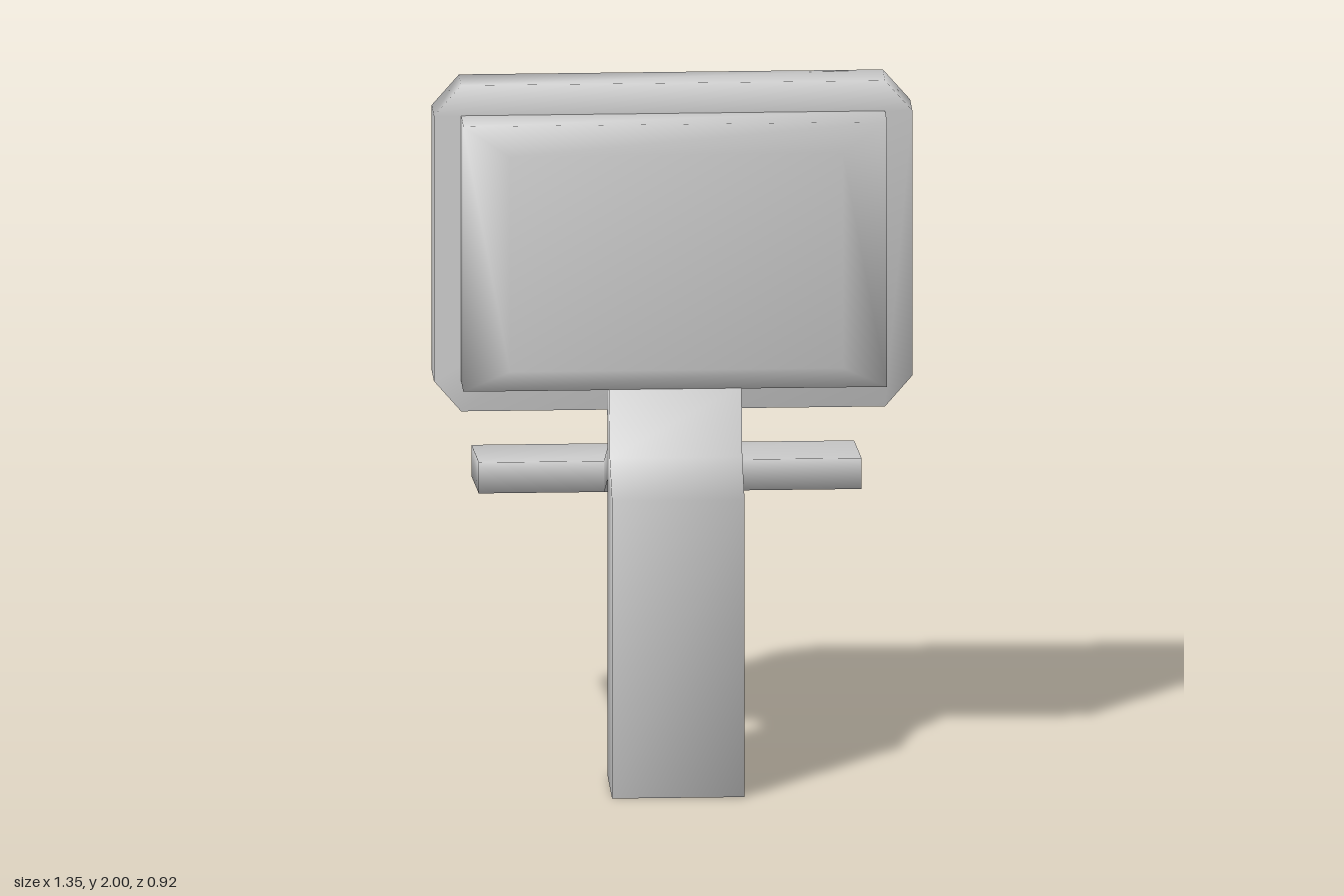
import * as THREE from 'three';
import { mergeGeometries, mergeVertices } from 'three/addons/utils/BufferGeometryUtils.js';

// Smooth skin through a list of equal-sized rings (counter-clockwise seen from the last ring)
function loft(rings, capStart = true, capEnd = true) {
  const n = rings[0].length;
  const last = (rings.length - 1) * n;
  const index = [];
  for (let r = 0; r < rings.length - 1; r++) {
    for (let i = 0; i < n; i++) {
      const a = r * n + i, b = r * n + (i + 1) % n;
      index.push(a, b, b + n, a, b + n, a + n);
    }
  }
  for (let i = 1; i < n - 1; i++) {
    if (capStart) index.push(0, i + 1, i);
    if (capEnd) index.push(last, last + i, last + i + 1);
  }
  const geometry = new THREE.BufferGeometry();
  geometry.setAttribute('position', new THREE.Float32BufferAttribute(rings.flat(2), 3));
  geometry.setIndex(index);
  const merged = mergeVertices(geometry, 1e-4);
  merged.computeVertexNormals();
  return merged;
}

// Four-cornered rings for lofts running up, backward and forward
const ringUp = (w, [zBack, yBack], [zFront, yFront]) =>
  [[w, yBack, zBack], [-w, yBack, zBack], [-w, yFront, zFront], [w, yFront, zFront]];
const ringBack = (w, z, top, bottom) =>
  [[-w, top, z], [w, top, z], [w, bottom, z], [-w, bottom, z]];
const ringFront = (w, z, top, bottom) =>
  [[w, top, z], [-w, top, z], [-w, bottom, z], [w, bottom, z]];

export function createModel() {
  const group = new THREE.Group();
  const material = (name, color) => {
    const m = new THREE.MeshStandardMaterial({ color });
    m.name = name;
    return m;
  };
  const casing = material('light grey casing', 0xcccccc);
  const glass = material('dark screen', 0x2f3531);
  const green = material('green code', 0x4ea524);
  const add = (name, geometry, mat) => {
    const mesh = new THREE.Mesh(geometry, mat);
    mesh.name = name;
    group.add(mesh);
  };

  // Post with a leaning neck
  const w = 0.187;
  add('post', loft([
    ringUp(w, [0.2, 0], [0.46, 0]),
    ringUp(w, [0.2, 0.865], [0.46, 0.865]),
    ringUp(w, [0.2, 0.955], [0.325, 0.955]),
    ringUp(w, [0.155, 1.15], [0.28, 1.15]),
  ]), casing);

  // Arm and keyboard tray
  add('trayArm', loft([
    ringBack(w, 0.2, 0.955, 0.865),
    ringBack(w, -0.02, 0.86, 0.77),
  ], false, false), casing);
  add('keyboardTray', loft([
    ringBack(0.54, -0.02, 0.86, 0.77),
    ringBack(0.54, -0.46, 0.8, 0.71),
  ]), casing);

  // Screen frame: chamfered outline with a rectangular opening at the back
  const X = 0.598, T = 1.912, B = 1.142, back = 0.025, front = 0.153;
  const outline = z => [
    [0.675, T, z], [X, 2, z], [-X, 2, z], [-0.675, T, z],
    [-0.675, B, z], [-X, 1.053, z], [X, 1.053, z], [0.675, B, z],
  ];
  const opening = ringFront(X, back, T, B).flatMap(p => [p, p]);
  add('screenFrame', loft([opening, outline(back), outline(front)], false), casing);

  // Bevelled housing on the front side
  add('housing', loft([
    ringFront(X, front, T, B),
    ringFront(X, 0.28, T, B),
    ringFront(0.47, 0.348, 1.84, 1.215),
  ], false), casing);

  // Screen faces backward
  const plate = (width, height, x, y, z) =>
    new THREE.PlaneGeometry(width, height).rotateY(Math.PI).translate(x, y, z);
  add('screen', plate(2 * X, T - B, 0, (T + B) / 2, back), glass);

  // Lines of abstract code: drop from the screen top, then start and end of each run
  const lines = [
    [0.13, 0.08, 0.38, 0.42, 0.45, 0.48, 0.53, 0.65, 0.73, 0.75, 0.77],
    [0.185, 0.08, 0.28, 0.36, 0.61, 0.64, 0.75, 0.82, 0.87, 0.91, 0.96, 1.0, 1.03],
    [0.235, 0.13, 0.17],
    [0.29, 0.13, 0.17],
    [0.34, 0.08, 0.37, 0.42, 0.48, 0.53, 0.56, 0.59, 0.66, 0.69, 0.79, 0.83, 0.87, 0.9, 1.12],
    [0.39, 0.13, 0.35],
    [0.44, 0.08, 0.12, 0.14, 0.62],
    [0.49, 0.08, 0.58, 0.62, 0.66, 0.73, 0.83],
    [0.54, 0.08, 0.36, 0.4, 0.64],
  ];
  let seed = 7;
  const random = () => (seed = (seed * 16807) % 2147483647) / 2147483647;
  const marks = [];
  for (const [drop, ...runs] of lines) {
    for (let i = 0; i < runs.length; i += 2) {
      for (let u = runs[i]; u < runs[i + 1] - 0.005;) {
        const width = Math.min(0.012 + random() * 0.025, runs[i + 1] - u);
        const height = 0.016 + random() * 0.018;
        const y = T - drop + (random() - 0.5) * 0.01;
        marks.push(plate(width, height, X - u - width / 2, y, back - 0.003));
        u += width + (random() < 0.25 ? 0.008 : 0);
      }
    }
  }
  add('codeLines', mergeGeometries(marks), green);

  return group;
}
